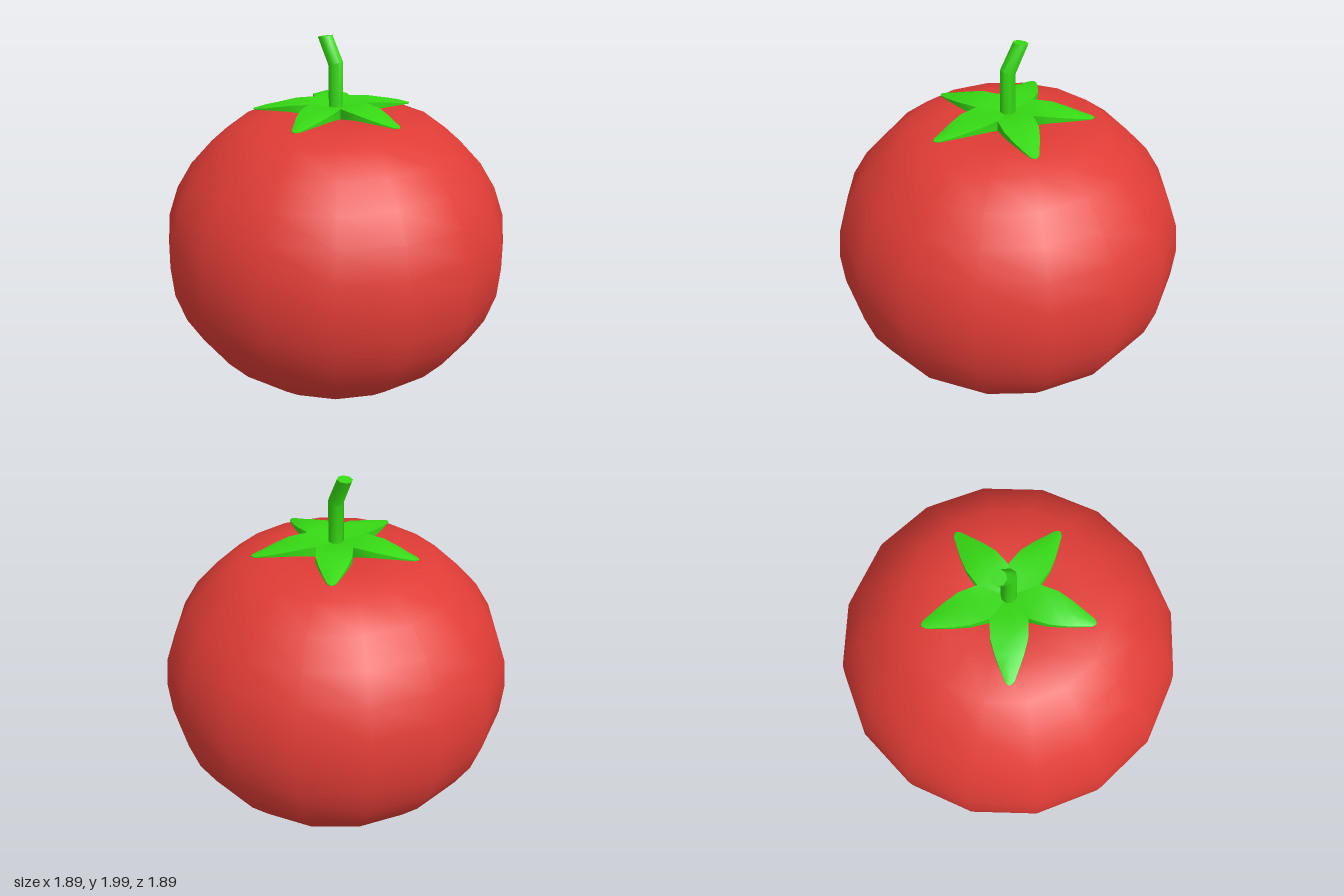
import * as THREE from 'three';
import { toCreasedNormals } from 'three/addons/utils/BufferGeometryUtils.js';

const red = new THREE.MeshStandardMaterial({ color: 0xe03c36 });
const green = new THREE.MeshStandardMaterial({ color: 0x36d914 });

// Skin a list of equal-sized closed rings and cap both ends
function loft(rings, crease) {
  const n = rings[0].length;
  const index = [];
  for (let i = 0; i < rings.length - 1; i++) {
    for (let j = 0; j < n; j++) {
      const a = i * n + j, b = i * n + (j + 1) % n;
      index.push(a, b, b + n, a, b + n, a + n);
    }
  }
  const end = (rings.length - 1) * n;
  for (let j = 1; j < n - 1; j++) {
    index.push(0, j + 1, j, end, end + j, end + j + 1);
  }
  const geometry = new THREE.BufferGeometry();
  geometry.setAttribute('position', new THREE.Float32BufferAttribute(rings.flat(2), 3));
  geometry.setIndex(index);
  return toCreasedNormals(geometry, crease);
}

function addMesh(parent, name, geometry, material) {
  const mesh = new THREE.Mesh(geometry, material);
  mesh.name = name;
  parent.add(mesh);
  return mesh;
}

// Round fruit, slightly sunken at the top
function fruitGeometry() {
  const profile = [
    [0, 0.005], [0.19, 0.02], [0.36, 0.065], [0.53, 0.145], [0.67, 0.25], [0.79, 0.38],
    [0.875, 0.52], [0.93, 0.68], [0.945, 0.845], [0.93, 1.01], [0.875, 1.17], [0.79, 1.31],
    [0.67, 1.44], [0.53, 1.545], [0.35, 1.587], [0.19, 1.58], [0, 1.56],
  ].map(([r, y]) => new THREE.Vector2(r, y));
  return new THREE.LatheGeometry(profile, 16);
}

// One pointed leaf growing outward along +z
function sepalGeometry() {
  // distance, half width, edge top, middle top, underside
  const sections = [
    [0, 0.001, 1.625, 1.625, 1.6],
    [0.13, 0.095, 1.655, 1.65, 1.6],
    [0.23, 0.092, 1.645, 1.655, 1.612],
    [0.31, 0.07, 1.628, 1.642, 1.608],
    [0.38, 0.044, 1.612, 1.625, 1.602],
    [0.435, 0.023, 1.602, 1.607, 1.597],
    [0.452, 0.006, 1.6, 1.601, 1.597],
  ];
  const rings = sections.map(([z, w, edge, middle, under]) => [
    [w, under, z], [w, edge, z], [0, middle, z], [-w, edge, z], [-w, under, z],
  ]);
  return loft(rings, 0.9);
}

// Eight-sided stalk with a backward bend
function stalkGeometry() {
  const radius = 0.041;
  // height, z position, slope of the ring
  const stations = [[1.56, 0, 0], [1.855, 0, 0.35], [1.993, -0.08, 0.17]];
  const rings = stations.map(([y, z, slope]) => Array.from({ length: 8 }, (_, k) => {
    const a = (k + 0.5) * Math.PI / 4;
    const dz = radius * Math.cos(a);
    return [radius * Math.sin(a), y + dz * slope, z + dz];
  }));
  return loft(rings, 0.9);
}

export function createModel() {
  const model = new THREE.Group();
  model.name = 'tomato';

  addMesh(model, 'fruit', fruitGeometry(), red);

  // Five leaves in a star around the stalk
  const calyx = new THREE.Group();
  calyx.name = 'calyx';
  const sepal = sepalGeometry();
  for (let i = 0; i < 5; i++) {
    addMesh(calyx, 'sepal', sepal, green).rotation.y = i * Math.PI * 2 / 5;
  }
  model.add(calyx);

  addMesh(model, 'stalk', stalkGeometry(), green);
  return model;
}
